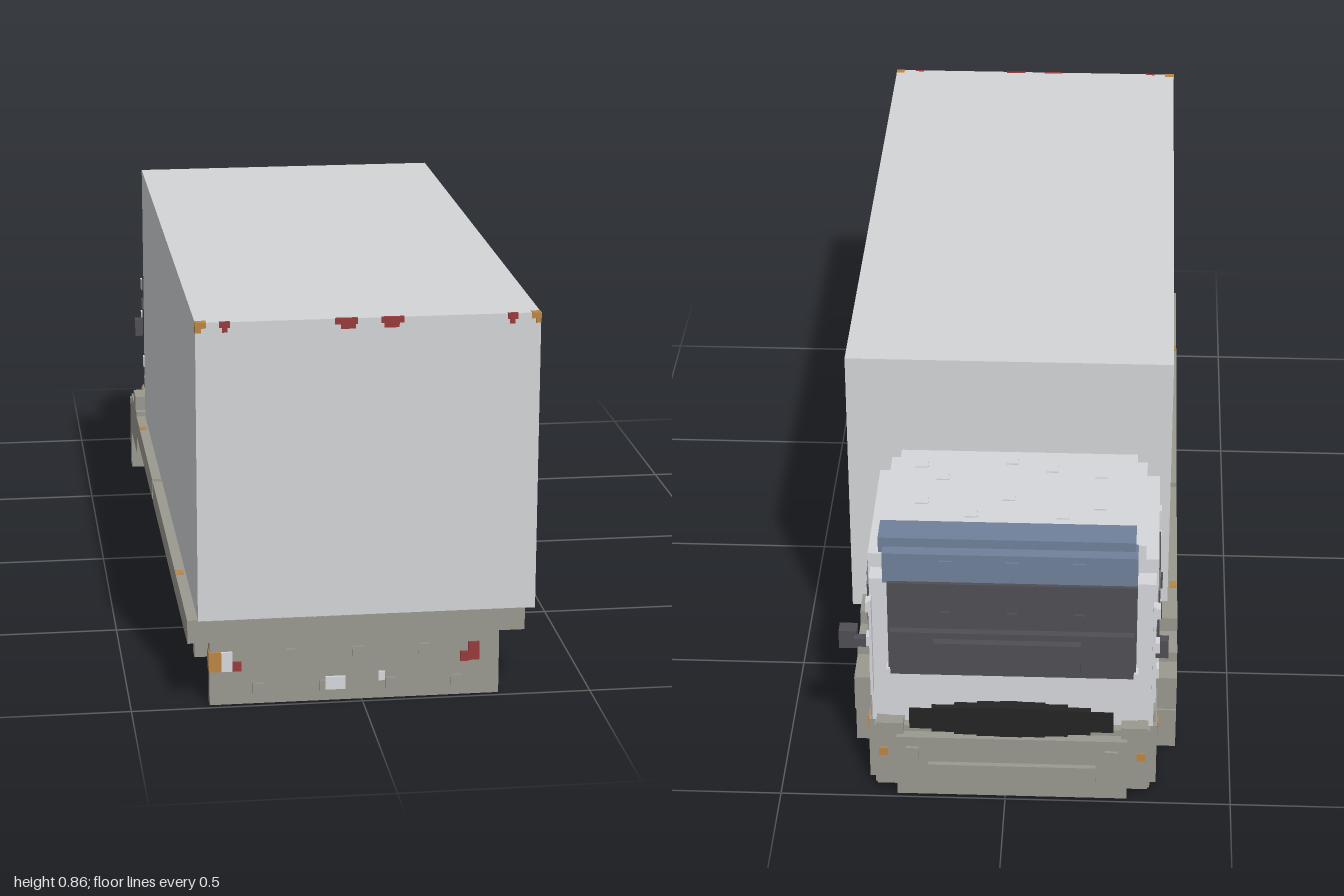
import * as THREE from 'three';

const mat = (name, color) => Object.assign(new THREE.MeshStandardMaterial({ color }), { name });

export function createModel() {
  const M = {
    cargo: mat('cargo grey', 0xd3d4d6), cab: mat('cab light grey', 0xd6d7db), frame: mat('frame olive', 0x9a998f),
    dark: mat('glass dark', 0x4f4e53), black: mat('black', 0x242425), blue: mat('visor blue', 0x70819a),
    orange: mat('orange', 0xbb8544), red: mat('red', 0x97393b),
  };
  const root = new THREE.Group();
  root.name = 'boxTruck';
  const group = (name) => {
    const g = new THREE.Group();
    g.name = name;
    root.add(g);
    return g;
  };
  // Box given by its low and high corner on each axis
  const box = (parent, name, m, x0, x1, y0, y1, z0, z1) => {
    const mesh = new THREE.Mesh(new THREE.BoxGeometry(x1 - x0, y1 - y0, z1 - z0), m);
    mesh.position.set((x0 + x1) / 2, (y0 + y1) / 2, (z0 + z1) / 2);
    mesh.name = name;
    parent.add(mesh);
    return mesh;
  };

  // Cargo body with stepped marker lamps along its top edge
  const cargo = group('cargoBody');
  box(cargo, 'cargoBox', M.cargo, -0.355, 0.375, 0.197, 0.855, -0.537, 0.998);
  for (const [x0, x1, t0, t1, m] of [[-0.3555, -0.332, -0.3555, -0.343, M.orange], [0.355, 0.3755, 0.364, 0.3755, M.orange],
    [-0.305, -0.282, -0.299, -0.287, M.red], [-0.062, -0.014, -0.05, -0.018, M.red],
    [0.036, 0.084, 0.042, 0.074, M.red], [0.304, 0.326, 0.308, 0.32, M.red]]) {
    const z0 = m === M.orange ? 0.982 : 0.992;
    box(cargo, 'markerLamp', m, x0, x1, 0.843, 0.8555, z0, 1);
    box(cargo, 'markerLampFoot', m, t0, t1, 0.833, 0.843, z0, 1);
  }
  for (let i = 0; i < 19; i++) {
    const z = 0.945 - i * 0.0775;
    box(cargo, 'sideHook', M.dark, 0.37, 0.3755, 0.198, 0.207, z - 0.009, z + 0.009);
  }

  // Chassis deck and side rails
  const chassis = group('chassis');
  box(chassis, 'deck', M.frame, -0.355, 0.353, 0.148, 0.198, -0.54, 0.998);
  box(chassis, 'sideLedge', M.frame, -0.378, -0.355, 0.148, 0.2, -0.54, 0);
  box(chassis, 'sideLedge', M.frame, -0.378, -0.355, 0.148, 0.2, 0.02, 0.998);
  for (const z of [-0.43, 0.69]) box(chassis, 'sideReflector', M.orange, -0.377, -0.36, 0.19, 0.202, z - 0.012, z + 0.012);
  box(chassis, 'sideReflector', M.orange, 0.35, 0.355, 0.178, 0.195, 0.085, 0.105);
  box(chassis, 'spine', M.frame, -0.2, 0.17, 0.09, 0.15, 0.14, 0.75);
  box(chassis, 'spine', M.frame, -0.2, 0.17, 0.075, 0.15, -0.9, -0.26);
  box(chassis, 'overhang', M.frame, -0.31, 0.285, 0.062, 0.15, 0.7, 0.955);
  box(chassis, 'overhangPanel', M.frame, -0.15, 0.125, 0.052, 0.062, 0.74, 0.92);
  for (const s of [-1, 1]) {
    const c = -0.0125;
    const side = (name, a, b, y0, y1, z0, z1) =>
      box(chassis, name, M.frame, c + Math.min(s * a, s * b), c + Math.max(s * a, s * b), y0, y1, z0, z1);
    side('longRail', 0.24, 0.31, 0.1, 0.15, -0.54, 0.95);
    side('lowRail', 0.13, 0.17, 0.025, 0.055, -0.9, 0.68);
    // Running gear: stepped blocks with hanging feet
    for (const z of [0.65, 0.43, 0.09, -0.36, -0.58]) {
      side('axleBlock', 0.2, 0.33, 0.08, 0.15, z - 0.08, z + 0.08);
      side('outerBracket', 0.31, 0.345, 0.06, 0.12, z - 0.045, z + 0.03);
      side('foot', 0.27, 0.325, 0, 0.08, z + 0.01, z + 0.045);
      side('foot', 0.21, 0.28, 0.012, 0.08, z - 0.055, z - 0.02);
      side('footPlate', 0.2, 0.32, 0.006, 0.026, z - 0.06, z + 0.04);
    }
    for (const z of [0.26, -0.13, -0.25]) {
      side('sideTank', 0.2, 0.335, 0.07, 0.135, z - 0.07, z + 0.06);
      side('tankStep', 0.22, 0.3, 0.04, 0.07, z - 0.04, z + 0.04);
    }
    side('lowerSkirt', 0.24, 0.3, 0.05, 0.1, -0.54, -0.04);
  }
  // Cross members and shallow underside panels
  for (const z of [0.55, 0.36, 0.18, -0.02, -0.27, -0.47, -0.7]) {
    box(chassis, 'crossMember', M.frame, -0.32, 0.295, 0.07, 0.12, z - 0.02, z + 0.02);
    box(chassis, 'lowCross', M.frame, -0.25, 0.225, 0.025, 0.05, z - 0.05, z - 0.015);
  }
  for (const z of [0.65, 0.45, 0.28]) box(chassis, 'underPanel', M.frame, -0.1, 0.075, 0.06, 0.092, z - 0.06, z + 0.06);
  box(chassis, 'lowPanel', M.frame, -0.13, 0.105, 0.025, 0.05, 0.4, 0.62);
  box(chassis, 'lowPanel', M.frame, -0.22, 0.19, 0.025, 0.06, -0.9, -0.34);
  for (const z of [0.64, 0.42, 0.08, -0.38, -0.6]) {
    box(chassis, 'axle', M.frame, -0.33, 0.305, 0.028, 0.053, z - 0.02, z + 0.02);
    box(chassis, 'axleHousing', M.frame, -0.07, 0.045, 0.01, 0.045, z - 0.04, z + 0.04);
  }

  // Lamp bar hanging at the cargo end
  const bar = group('lampBar');
  box(bar, 'barPlate', M.frame, -0.33, 0.3, 0, 0.148, 0.955, 0.985);
  for (let i = 0; i < 7; i++) {
    const x = -0.225 + i * 0.072, y = i % 2 ? 0.11 : 0.035;
    box(bar, 'barStud', M.frame, x - 0.012, x + 0.012, y - 0.012, y + 0.012, 0.98, 0.99);
  }
  box(bar, 'cornerLamp', M.orange, -0.332, -0.305, 0.077, 0.121, 0.955, 0.99);
  for (const [m, x0, x1, y0, y1] of [[M.cab, -0.305, -0.281, 0.077, 0.121],
    [M.red, -0.281, -0.262, 0.077, 0.098], [M.red, 0.215, 0.232, 0.078, 0.1], [M.red, 0.232, 0.256, 0.08, 0.121],
    [M.cab, -0.08, -0.036, 0.026, 0.055], [M.cab, 0.036, 0.05, 0.042, 0.062]]) {
    box(bar, 'barLamp', m, x0, x1, y0, y1, 0.983, 0.991);
  }

  // Cab shell: stepped section swept along z
  const cab = group('cab');
  const shape = new THREE.Shape([[-0.33, 0.17], [0.3, 0.17], [0.3, 0.58], [0.272, 0.58], [0.272, 0.615], [0.25, 0.615],
    [0.25, 0.635], [-0.28, 0.635], [-0.28, 0.615], [-0.302, 0.615], [-0.302, 0.58], [-0.33, 0.58]]
    .map(([x, y]) => new THREE.Vector2(x, y)));
  const shell = new THREE.Mesh(new THREE.ExtrudeGeometry(shape, { depth: 0.34, bevelEnabled: false }), M.cab);
  shell.position.z = -0.9;
  shell.name = 'cabShell';
  cab.add(shell);
  box(cab, 'cabNose', M.cab, -0.325, 0.295, 0.17, 0.545, -0.945, -0.9);
  box(cab, 'lowerPanel', M.cab, -0.29, 0.26, 0.2, 0.325, -0.968, -0.94);
  box(cab, 'sunVisor', M.blue, -0.28, 0.275, 0.6, 0.637, -0.925, -0.855);
  box(cab, 'sunVisorLip', M.blue, -0.285, 0.265, 0.54, 0.615, -0.953, -0.895);
  box(cab, 'windscreen', M.dark, -0.285, 0.255, 0.315, 0.545, -0.962, -0.94);
  box(cab, 'windscreenBase', M.dark, -0.28, 0.25, 0.32, 0.43, -0.98, -0.955);
  box(cab, 'wiperPanel', M.dark, -0.165, 0.155, 0.335, 0.415, -0.998, -0.975);
  box(cab, 'rearDuct', M.black, -0.235, 0.2, 0.2, 0.46, -0.562, -0.535);
  for (const x of [-0.16, -0.015, 0.13]) {
    box(cab, 'visorStud', M.blue, x - 0.014, x + 0.014, 0.57, 0.6, -0.957, -0.945);
    box(cab, 'glassStud', M.dark, x - 0.012, x + 0.012, 0.45, 0.475, -0.968, -0.955);
  }
  // Curved grille made of stepped bars
  for (let i = -4; i <= 4; i++) {
    const x = -0.013 + i * 0.05, lift = 0.0015 * i * i;
    box(cab, 'grilleBar', M.black, x - 0.025, x + 0.025, 0.168, 0.245 - lift, -0.996 + lift, -0.94);
  }

  // Side windows, mirrors, handles and studs
  const win = new THREE.Shape([[0.71, 0.325], [0.875, 0.325], [0.9, 0.35], [0.9, 0.5], [0.87, 0.535], [0.72, 0.535],
    [0.685, 0.5], [0.685, 0.37]].map(([z, y]) => new THREE.Vector2(z, y)));
  const winGeo = new THREE.ExtrudeGeometry(win, { depth: 0.006, bevelEnabled: false });
  for (const s of [-1, 1]) {
    const face = s > 0 ? 0.3 : -0.33;
    const w = new THREE.Mesh(winGeo, M.dark);
    w.rotation.y = Math.PI / 2;
    w.position.x = s > 0 ? face - 0.002 : face - 0.004;
    w.name = 'sideWindow';
    cab.add(w);
    const out = (name, m, d, y0, y1, z0, z1) =>
      box(cab, name, m, Math.min(face - s * 0.01, face + s * d), Math.max(face - s * 0.01, face + s * d), y0, y1, z0, z1);
    out('pillar', M.cab, -0.004, 0.25, 0.5, -0.965, -0.94);
    out('doorHandle', M.black, 0.006, 0.275, 0.295, -0.725, -0.685);
    for (const [z, y] of [[-0.6, 0.44], [-0.6, 0.34], [-0.65, 0.28], [-0.62, 0.52], [-0.77, 0.24], [-0.86, 0.26],
      [-0.92, 0.37], [-0.92, 0.46]]) {
      out('sideStud', M.cab, 0.006, y - 0.013, y + 0.013, z - 0.013, z + 0.013);
    }
    for (const [z, y] of [[-0.74, 0.42], [-0.83, 0.48], [-0.86, 0.42]]) {
      out('windowStud', M.dark, 0.009, y - 0.013, y + 0.013, z - 0.013, z + 0.013);
    }
    // Fender steps and skirt
    out('fender', M.frame, 0.048, 0.1, 0.185, s > 0 ? -0.81 : -0.785, -0.54);
    out('fenderStep', M.frame, 0.048, 0.18, 0.21, -0.72, -0.545);
    out('fenderTop', M.frame, 0.048, 0.2, 0.245, -0.635, -0.565);
    out('fenderFoot', M.frame, 0.048, 0, 0.1, -0.79, -0.74);
    out('skirt', M.frame, 0.004, 0.015, 0.17, -0.945, -0.8);
    out('turnLamp', M.orange, 0.007, 0.13, 0.168, -0.93, -0.905);
  }
  // Mirrors: a stepped arm on the left, a short stub on the right
  box(cab, 'mirrorArm', M.dark, 0.29, 0.335, 0.34, 0.36, -0.91, -0.89);
  box(cab, 'mirror', M.dark, 0.33, 0.37, 0.325, 0.37, -0.895, -0.862);
  box(cab, 'mirrorStub', M.dark, -0.355, -0.32, 0.325, 0.37, -0.905, -0.882);
  for (const [x, z] of [[-0.2, -0.65], [-0.12, -0.82], [-0.09, -0.63], [0, -0.75], [0, -0.6], [0.08, -0.82], [0.15, -0.67],
    [0.19, -0.77], [0.2, -0.62], [-0.2, -0.78]]) {
    box(cab, 'roofStud', M.cab, x - 0.014, x + 0.014, 0.63, 0.638, z - 0.014, z + 0.014);
  }

  // Stepped bumper below the cab
  const bumper = group('cabBumper');
  box(bumper, 'cabFloor', M.frame, -0.33, 0.3, 0.07, 0.2, -0.93, -0.535);
  box(bumper, 'bumperCore', M.frame, -0.32, 0.29, 0.015, 0.17, -0.965, -0.92);
  box(bumper, 'bumperFace', M.frame, -0.27, 0.24, 0, 0.155, -0.988, -0.95);
  box(bumper, 'bumperLip', M.frame, -0.2, 0.17, 0.03, 0.09, -1, -0.98);
  for (const s of [-1, 1]) {
    const x = -0.015 + s * 0.27;
    box(bumper, 'bumperCorner', M.frame, x - 0.03, x + 0.03, 0.02, 0.185, -0.978, -0.9);
    box(bumper, 'bumperStud', M.frame, x - s * 0.05 - 0.014, x - s * 0.05 + 0.014, 0.1, 0.13, -0.995, -0.98);
    box(bumper, 'bumperLamp', M.orange, x + s * 0.015 - 0.01, x + s * 0.015 + 0.01, 0.1, 0.12, -0.983, -0.97);
  }
  return root;
}
